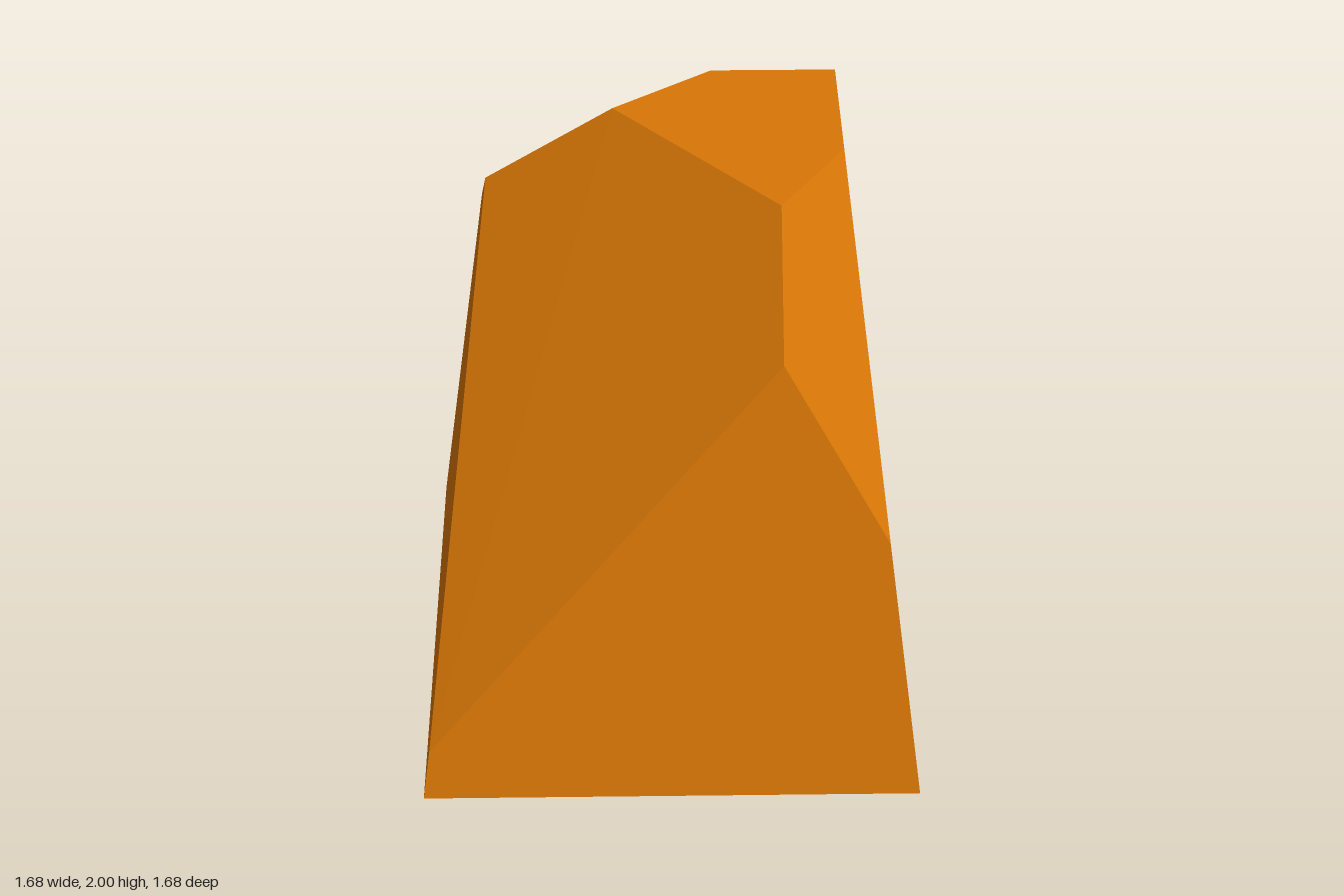
import * as THREE from 'three';
import { ConvexGeometry } from 'three/addons/geometries/ConvexGeometry.js';

export function createModel() {
  const group = new THREE.Group();
  group.name = 'chiselledRock';
  const amber = new THREE.MeshStandardMaterial({ color: 0xd97706 });
  amber.name = 'amber stone';

  // Half width of the tapering block at a given height
  const half = (y) => 0.84 - 0.1365 * y;
  const point = (x, y, z) => new THREE.Vector3(x, y, z);
  // Point on a vertical corner edge of the block
  const corner = (sx, y, sz) => point(sx * half(y), y, sz * half(y));

  const points = [
    // square base
    corner(-1, 0, -1), corner(1, 0, -1), corner(1, 0, 1), corner(-1, 0, 1),
    // flat top, with its back right corner whole
    corner(1, 2, -1),
    point(0.15, 2, -half(2)),
    point(-0.18, 2, -0.33),
    point(0.35, 2, 0.26),
    point(half(2), 2, -0.07),
    // large cut across the front left corner
    corner(-1, 0.19, 1),
    point(0.35, 1.64, half(1.64)),
    point(-half(1.65), 1.65, -0.46),
    // small cuts at the front right and back left corners
    corner(1, 0.99, 1),
    corner(-1, 1.47, -1),
  ];

  const rock = new THREE.Mesh(new ConvexGeometry(points), amber);
  rock.name = 'rock';
  group.add(rock);
  return group;
}
